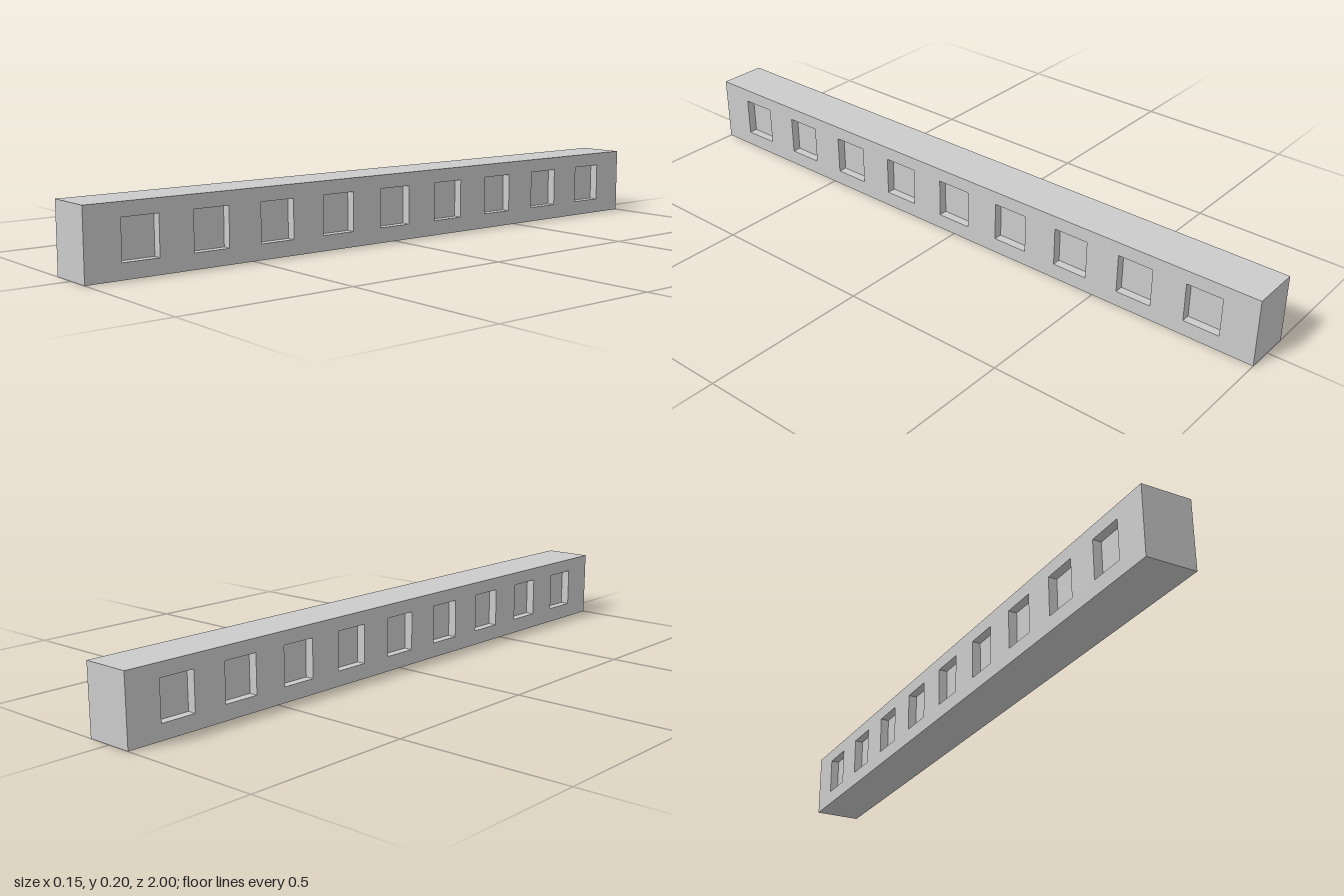
import * as THREE from 'three';

const W = 0.146, H = 0.2, L = 2;                    // beam size
const POCKET = { count: 9, step: 0.2105, w: 0.108, y0: 0.045, y1: 0.16, depth: 0.026 };

function rectangle(path, x0, y0, x1, y1) {
  path.moveTo(x0, y0);
  path.lineTo(x1, y0);
  path.lineTo(x1, y1);
  path.lineTo(x0, y1);
  path.closePath();
  return path;
}

// Box without the faces listed (0 = +x, 1 = -x, ...)
function openBox(w, h, d, removed) {
  const g = new THREE.BoxGeometry(w, h, d);
  const index = Array.from(g.index.array);
  g.setIndex(index.filter((_, i) => !removed.includes(Math.floor(i / 6))));
  g.clearGroups();
  return g;
}

export function createModel() {
  const model = new THREE.Group();
  model.name = 'slottedBeam';
  const material = new THREE.MeshStandardMaterial({ color: 0xcccccc });

  const add = (parent, name, geometry) => {
    const mesh = new THREE.Mesh(geometry, material);
    mesh.name = name;
    parent.add(mesh);
    return mesh;
  };

  // Top, bottom and end faces of the beam
  add(model, 'beamShell', openBox(W, H, L, [0, 1])).position.y = H / 2;

  const centres = Array.from({ length: POCKET.count },
    (_, i) => (i - (POCKET.count - 1) / 2) * POCKET.step);

  // Side face pierced by the pocket openings
  const outline = rectangle(new THREE.Shape(), -L / 2, 0, L / 2, H);
  for (const c of centres) {
    outline.holes.push(rectangle(new THREE.Path(),
      c - POCKET.w / 2, POCKET.y0, c + POCKET.w / 2, POCKET.y1));
  }
  const sideFace = new THREE.ShapeGeometry(outline);
  sideFace.rotateY(Math.PI / 2);

  // Pocket lining: open towards +x, faces turned inward by mirroring
  const lining = openBox(POCKET.depth, POCKET.y1 - POCKET.y0, POCKET.w, [1]);
  lining.scale(-1, 1, 1);
  lining.computeVertexNormals();

  for (const [name, angle] of [['leftSide', 0], ['rightSide', Math.PI]]) {
    const side = new THREE.Group();
    side.name = name;
    side.rotation.y = angle;
    add(side, 'sideFace', sideFace).position.x = W / 2;
    for (const c of centres) {
      add(side, 'pocket', lining).position.set(
        W / 2 - POCKET.depth / 2, (POCKET.y0 + POCKET.y1) / 2, c);
    }
    model.add(side);
  }
  return model;
}
